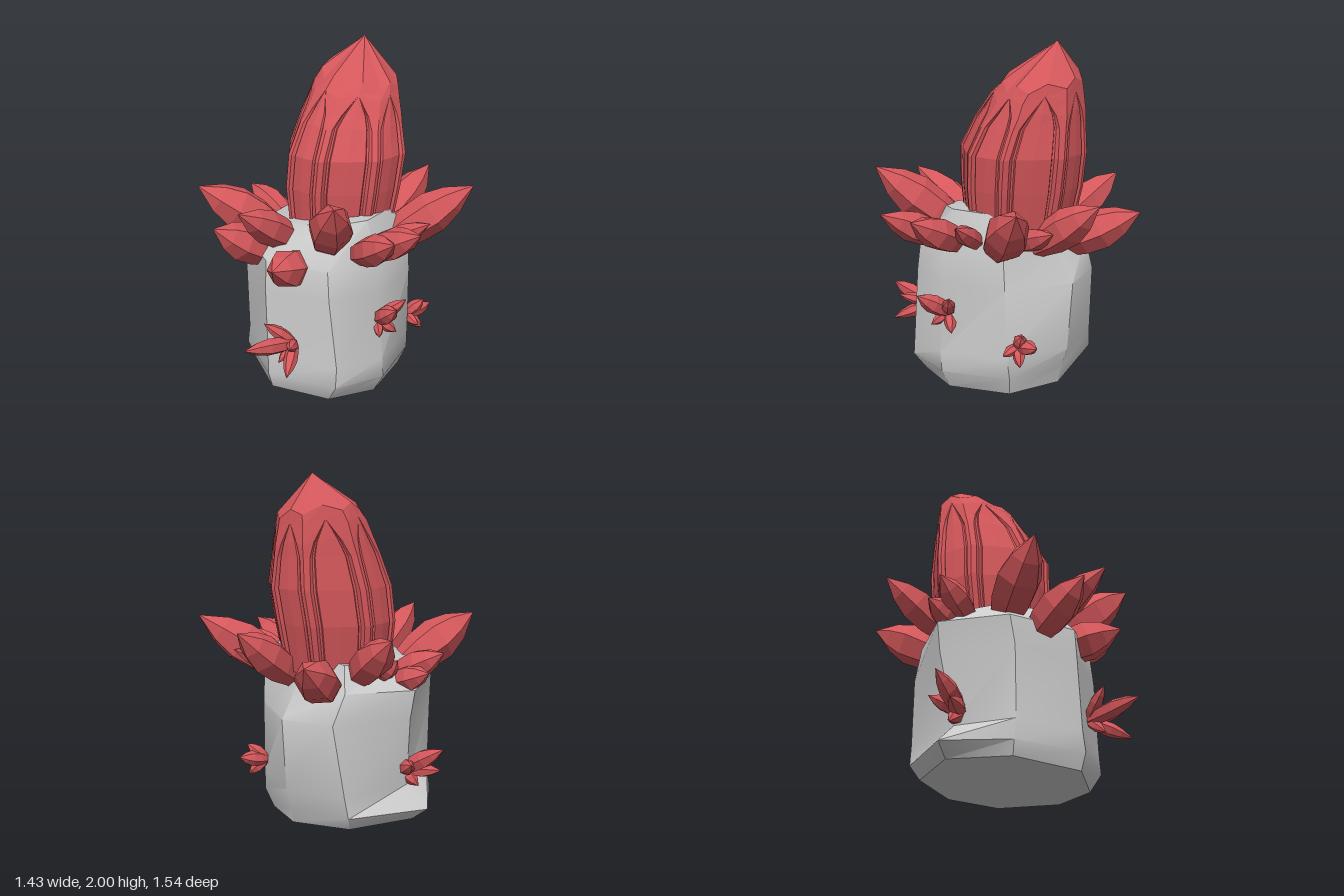
import * as THREE from 'three';
import { toCreasedNormals } from 'three/addons/utils/BufferGeometryUtils.js';

const rockMat = new THREE.MeshStandardMaterial({ color: 0xcccccc });
const redMat = new THREE.MeshStandardMaterial({ color: 0xd4575b, flatShading: true });

// Skin closed rings of [x, y, z], with a fan to a bottom and a top point
function loft(rings, bottom, top) {
  const n = rings[0].length, pos = rings.flat(2), idx = [];
  const lo = rings.length * n, hi = lo + 1, last = (rings.length - 1) * n;
  pos.push(...bottom, ...top);
  for (let j = 0; j < n; j++) {
    const k = (j + 1) % n;
    idx.push(lo, k, j, hi, last + j, last + k);
    for (let i = 0; i + 1 < rings.length; i++) {
      const a = i * n + j, b = i * n + k;
      idx.push(a, b, b + n, a, b + n, a + n);
    }
  }
  const g = new THREE.BufferGeometry();
  g.setAttribute('position', new THREE.Float32BufferAttribute(pos, 3));
  g.setIndex(idx);
  g.computeVertexNormals();
  return g;
}

function mesh(geometry, material, name) {
  const m = new THREE.Mesh(geometry, material);
  m.name = name;
  return m;
}

// Irregular boulder: eight corners per level, from the front round by +x; third value tilts the level
function rock() {
  const levels = [
    [0.02, [-.05, .46, .28, .32, .39, .05, .28, -.3, 0, -.45, -.35, -.38, -.55, -.05, -.42, .28], -.05],
    [0.12, [-.05, .49, .36, .35, .46, .05, .32, -.33, 0, -.47, -.38, -.43, -.64, -.03, -.44, .3], 0],
    [0.24, [-.06, .48, .36, .34, .46, .06, .33, -.32, 0, -.51, -.36, -.44, -.5, -.04, -.42, .3], 0],
    [0.65, [-.08, .47, .31, .35, .42, .06, .34, -.31, 0, -.54, -.31, -.48, -.56, -.1, -.43, .3], 0],
    [0.82, [-.08, .46, .29, .34, .41, .06, .34, -.3, 0, -.41, -.34, -.41, -.59, -.1, -.45, .28], 0],
    [1.01, [-.02, .28, .22, .22, .33, .06, .26, -.24, 0, -.35, -.29, -.35, -.44, -.1, -.36, .16], .16],
  ];
  const rings = levels.map(([y, p, tilt]) => Array.from({ length: 8 }, (_, j) =>
    [p[2 * j], y + tilt * p[2 * j], p[2 * j + 1]]));
  return mesh(toCreasedNormals(loft(rings, [-0.05, 0.02, 0], [0, 1.03, -0.05]), 0.65), rockMat, 'rock');
}

// Leaning crystal with narrow sides on the axes and wide ones between;
// shallow grooves on every side close into a pointed arch
function mainCrystal() {
  const cols = [[-1, 0], [-.8, 0], [-.74, .04], [-.66, .04], [-.6, .01], [0, 0],
    [.6, .01], [.66, .04], [.74, .04], [.8, 0]]; // position across the side, depth
  // y, centre x, centre z, half width, half depth, arch width, peak rise
  const rows = [
    [0.90, -.05, -.12, .31, .31, 1, 0],
    [1.18, -.05, -.14, .35, .35, 1, 0],
    [1.38, -.035, -.16, .35, .36, 1, 0],
    [1.55, -.04, -.2, .305, .315, .95, .02],
    [1.62, -.042, -.225, .285, .29, .7, .04],
    [1.71, -.045, -.25, .26, .255, 0, .06],
    [1.77, -.045, -.28, .235, .22, 0, .08],
  ];
  const corner = 0.323;
  const angle = i => Math.floor(i / 2) * Math.PI / 2 + (i % 2 ? corner : -corner);
  const rings = rows.map(([y, cx, cz, rx, rz, w, peak]) => {
    const ring = [];
    for (let side = 0; side < 8; side++) {
      const a = angle(side), b = angle(side + 1);
      for (const [s, depth] of cols) {
        const u = s === -1 ? -1 : s * w, t = (u + 1) / 2;
        const k = (w ? 1 - depth * 1.5 : 1) / Math.cos(corner);
        const x = k * rx * THREE.MathUtils.lerp(Math.sin(a), Math.sin(b), t);
        const z = k * rz * THREE.MathUtils.lerp(Math.cos(a), Math.cos(b), t);
        ring.push([cx + x, y + peak * (.5 - Math.abs(u) * .5 - 2 * x), cz + z]);
      }
    }
    return ring;
  });
  return mesh(loft(rings, [-.05, .9, -.12], [-.08, 2, -.36]), redMat, 'mainCrystal');
}

// Pointed six-sided gem from a base point to a tip
const gem = new THREE.LatheGeometry([[0, 0], [.62, .02], [.93, .28], [1, .53], [.7, .75], [0, 1]]
  .map(p => new THREE.Vector2(...p)), 6);
function crystal(base, tip, r, name) {
  const a = new THREE.Vector3(...base), d = new THREE.Vector3(...tip).sub(a);
  const m = mesh(gem, redMat, name);
  m.position.copy(a);
  m.scale.set(r, d.length(), r);
  m.quaternion.setFromUnitVectors(new THREE.Vector3(0, 1, 0), d.normalize());
  return m;
}

export function createModel() {
  const model = new THREE.Group();
  model.add(rock(), mainCrystal());

  // Crown of crystals round the top of the rock
  const crown = new THREE.Group();
  crown.name = 'crystalCrown';
  [
    [[-.31, .86, .14], [-.58, 1.17, .53], .13],
    [[-.22, .77, .28], [-.3, 1.01, .66], .115],
    [[-.1, .87, .2], [-.07, 1.16, .67], .1],
    [[.01, .76, .26], [.15, .87, .63], .115],
    [[.14, .9, .18], [.49, 1.28, .5], .125],
    [[.31, .87, .13], [.71, 1.08, .27], .09],
    [[.3, .86, .02], [.71, 1.07, .05], .095],
    [[.3, .88, -.1], [.6, 1.05, -.17], .06],
    [[.25, .84, -.2], [.6, 1.18, -.57], .125],
    [[.19, .88, -.28], [.3, 1.02, -.6], .065],
    [[.08, .85, -.34], [.11, 1.16, -.77], .11],
    [[-.17, .8, -.34], [-.35, 1.03, -.77], .12],
    [[-.3, .88, -.25], [-.66, 1.16, -.43], .105],
    [[-.39, .86, -.02], [-.71, 1.03, 0], .085],
    [[-.42, .84, -.07], [-.68, .93, -.1], .075],
    [[-.42, .88, -.18], [-.54, 1.0, -.2], .045],
  ].forEach(c => crown.add(crystal(...c, 'crownCrystal')));
  model.add(crown);

  // Small bursts on the sides of the rock: root, then tips with radii
  const bursts = [
    ['frontBurst', [.1, .35, .42], [[.06, .41, .77, .05], [.02, .5, .58, .04], [.23, .41, .58, .035],
      [.24, .25, .62, .04], [.09, .26, .54, .03]]],
    ['leftBurst', [.4, .47, .04], [[.6, .61, .11, .055], [.53, .6, -.06, .04], [.48, .4, .11, .03],
      [.48, .38, -.04, .035]]],
    ['backLeftBurst', [.28, .32, -.36], [[.34, .36, -.53, .045], [.36, .42, -.44, .04], [.36, .23, -.43, .035],
      [.4, .29, -.34, .03]]],
    ['rightBurst', [-.46, .32, -.02], [[-.72, .48, 0, .055], [-.67, .33, .06, .045], [-.57, .24, -.02, .04],
      [-.6, .4, -.14, .045]]],
  ];
  for (const [name, root, tips] of bursts) {
    const burst = new THREE.Group();
    burst.name = name;
    for (const [x, y, z, r] of tips) burst.add(crystal(root, [x, y, z], r, 'burstCrystal'));
    model.add(burst);
  }
  return model;
}
